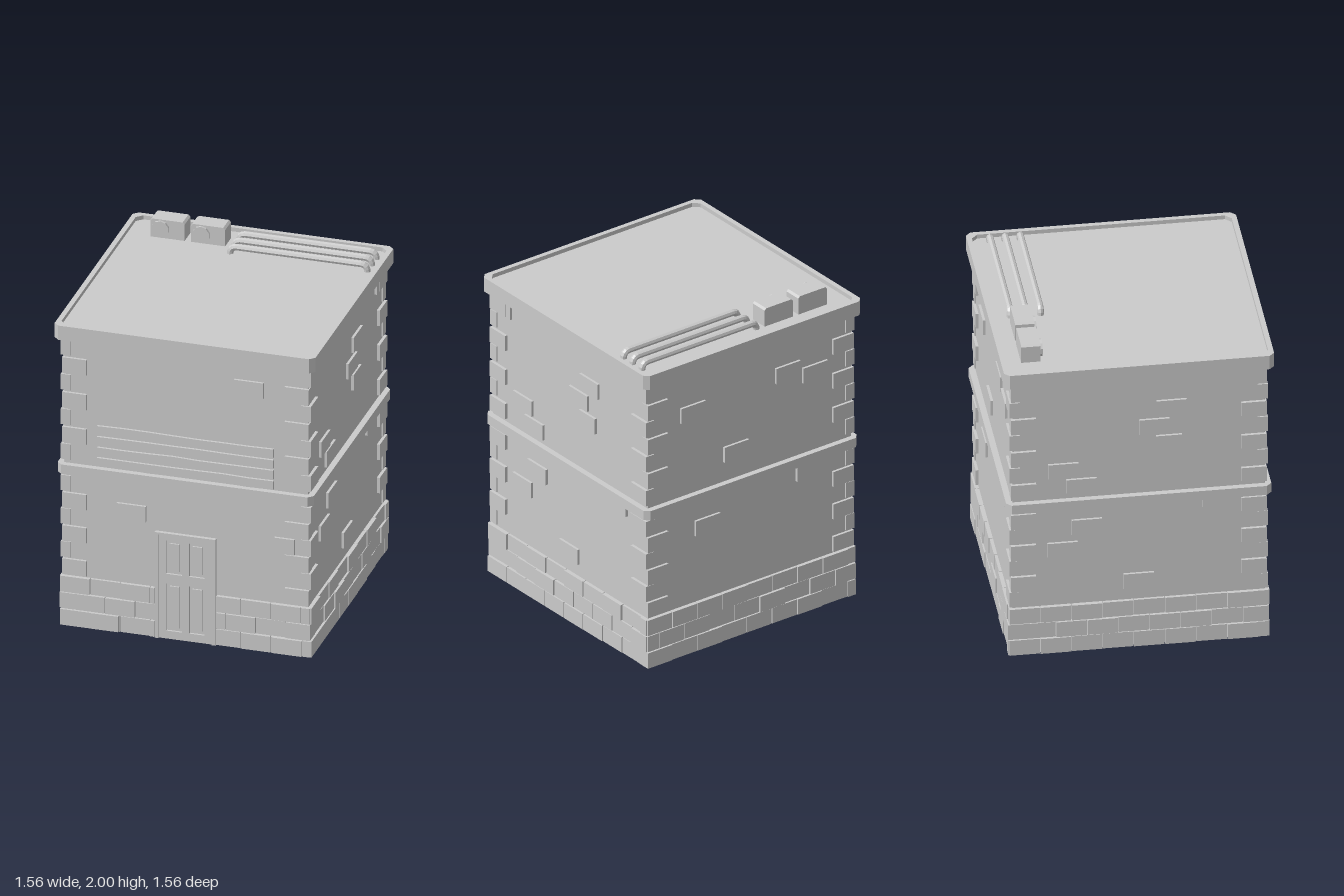
import * as THREE from 'three';

const grey = new THREE.MeshStandardMaterial({ color: 0xcccccc, flatShading: true });
const WALL = 0.73;
const BRICK = { length: 0.175, height: 0.098, depth: 0.1 };

function add(parent, name, geometry, x = 0, y = 0, z = 0) {
  const mesh = new THREE.Mesh(geometry, grey);
  mesh.name = name;
  mesh.position.set(x, y, z);
  parent.add(mesh);
  return mesh;
}

// Box given by its limits on each axis
function block(parent, name, x0, x1, y0, y1, z0, z1) {
  return add(parent, name, new THREE.BoxGeometry(x1 - x0, y1 - y0, z1 - z0),
    (x0 + x1) / 2, (y0 + y1) / 2, (z0 + z1) / 2);
}

// Square outline with cut corners
function outline(h, c) {
  return [[h, c - h], [h, h - c], [h - c, h], [c - h, h], [-h, h - c], [-h, c - h], [c - h, -h], [h - c, -h]]
    .map(([x, y]) => new THREE.Vector2(x, y));
}

// Horizontal slab, or a ring when an inner half-width is given
function slab(parent, name, half, cut, y0, y1, inner = 0, innerCut = cut) {
  const shape = new THREE.Shape(outline(half, cut));
  if (inner) shape.holes.push(new THREE.Path(outline(inner, innerCut)));
  const geometry = new THREE.ExtrudeGeometry(shape, { depth: y1 - y0, bevelEnabled: false });
  geometry.rotateX(-Math.PI / 2);
  return add(parent, name, geometry, 0, y0, 0);
}

function seeded(seed) {
  return () => (seed = (seed * 16807) % 2147483647) / 2147483647;
}

// Three courses of base bricks on one face, leaving an optional gap for the door
function baseCourses(face, rand, gap) {
  for (let row = 0; row < 3; row++) {
    const start = -0.93 + (row % 2) * 0.09;
    for (let k = 0; k < 10; k++) {
      const a = start + k * 0.18;
      const spans = gap
        ? [[Math.max(a, -0.748), Math.min(a + 0.18, -gap)], [Math.max(a, gap), Math.min(a + 0.18, 0.748)]]
        : [[Math.max(a, -0.748), Math.min(a + 0.18, 0.748)]];
      const out = 0.744 + rand() * 0.012;
      for (const [u0, u1] of spans) {
        if (u1 - u0 < 0.02) continue;
        block(face, 'baseBrick', u0 + 0.002, u1 - 0.002, row * 0.105 + 0.004, row * 0.105 + 0.103, out - BRICK.depth, out);
      }
    }
  }
}

// Corner stones alternating their long side between the two faces
function cornerStones(parent) {
  const courses = [];
  for (let i = 0; i < 6; i++) courses.push([0.32 + i * 0.105, i % 2]);
  for (let i = 0; i < 7; i++) courses.push([1.045 + i * 0.11, (i + 1) % 2]);
  for (const sx of [-1, 1]) for (const sz of [-1, 1]) {
    for (const [y, alongZ] of courses) {
      const w = alongZ ? 0.06 : 0.145, d = alongZ ? 0.145 : 0.06;
      const ox = alongZ ? 0.748 : 0.738, oz = alongZ ? 0.738 : 0.746;
      add(parent, 'cornerStone', new THREE.BoxGeometry(w, BRICK.height, d),
        sx * (ox - w / 2), y + 0.052, sz * (oz - d / 2));
    }
  }
}

function door(face) {
  const group = new THREE.Group();
  group.name = 'door';
  face.add(group);
  // Jambs and lintel
  for (const s of [-1, 1]) block(group, 'doorJamb', s * 0.1705 - 0.0115, s * 0.1705 + 0.0115, 0, 0.67, 0.7, 0.753);
  block(group, 'doorLintel', -0.16, 0.16, 0.657, 0.67, 0.7, 0.753);
  // Leaf with four sunken panels
  const leaf = new THREE.Shape([[-0.16, 0], [0.16, 0], [0.16, 0.657], [-0.16, 0.657]].map((p) => new THREE.Vector2(...p)));
  for (const [x0, x1] of [[-0.115, -0.022], [0.022, 0.115]]) {
    for (const [y0, y1] of [[0.05, 0.35], [0.41, 0.62]]) {
      leaf.holes.push(new THREE.Path([[x0, y0], [x0, y1], [x1, y1], [x1, y0]].map((p) => new THREE.Vector2(...p))));
      block(group, 'doorPanel', x0 + 0.018, x1 - 0.018, y0 + 0.018, y1 - 0.018, 0.72, 0.739);
    }
  }
  add(group, 'doorLeaf', new THREE.ExtrudeGeometry(leaf, { depth: 0.024, bevelEnabled: false }), 0, 0, 0.719);
}

// Four rough planks with uneven edges
function planks(face, rand) {
  for (let i = 0; i < 4; i++) {
    const y0 = 1.03 + i * 0.067, n = 7, low = [], high = [];
    for (let k = 0; k <= n; k++) {
      const x = -0.53 + (1.055 * k) / n;
      low.push(new THREE.Vector2(x, y0 + rand() * 0.007));
      high.push(new THREE.Vector2(x, y0 + 0.054 + rand() * 0.007));
    }
    const shape = new THREE.Shape([...low, ...high.reverse()]);
    add(face, 'boardPlank', new THREE.ExtrudeGeometry(shape, { depth: 0.03, bevelEnabled: false }), 0, 0, 0.715);
  }
}

function roofUnit(parent, x0, x1) {
  const group = new THREE.Group();
  group.name = 'airConditioner';
  parent.add(group);
  // Casing with softened top corners
  const c = 0.012, y0 = 1.88, y1 = 2;
  const shape = new THREE.Shape([[x0, y0], [x1, y0], [x1, y1 - c], [x1 - c, y1], [x0 + c, y1], [x0, y1 - c]]
    .map((p) => new THREE.Vector2(...p)));
  add(group, 'unitCasing', new THREE.ExtrudeGeometry(shape, { depth: 0.112, bevelEnabled: false }), 0, 0, -0.66);
  const fan = new THREE.CylinderGeometry(0.052, 0.052, 0.015, 10);
  fan.rotateX(Math.PI / 2);
  add(group, 'unitFan', fan, x0 + 0.062, 1.943, -0.541);
}

function roofPipe(parent, z) {
  const v = (x, y) => new THREE.Vector3(x, y, 0);
  const path = new THREE.CurvePath();
  path.add(new THREE.LineCurve3(v(-0.11, 1.87), v(-0.11, 1.885)));
  path.add(new THREE.QuadraticBezierCurve3(v(-0.11, 1.885), v(-0.11, 1.927), v(-0.068, 1.927)));
  path.add(new THREE.LineCurve3(v(-0.068, 1.927), v(0.668, 1.927)));
  path.add(new THREE.QuadraticBezierCurve3(v(0.668, 1.927), v(0.71, 1.927), v(0.71, 1.885)));
  path.add(new THREE.LineCurve3(v(0.71, 1.885), v(0.71, 1.87)));
  add(parent, 'roofPipe', new THREE.TubeGeometry(path, 60, 0.02, 8, false), 0, 0, z);
}

export function createModel() {
  const model = new THREE.Group();
  model.name = 'brickBuilding';
  const rand = seeded(7);

  // Hollow walls, middle band and roof
  slab(model, 'walls', WALL, 0.002, 0.004, 1.83, 0.715, 0.002);
  slab(model, 'middleBand', 0.766, 0.03, 0.965, 1.025, 0.72, 0.01);
  slab(model, 'roofDeck', 0.76, 0.035, 1.822, 1.885);
  slab(model, 'roofRim', 0.78, 0.03, 1.82, 1.91, 0.75, 0.035);
  cornerStones(model);

  // Loose bricks on each face: [centre across, centre up, length]
  const sideBricks = [[-0.435, 1.215], [-0.33, 1.105], [-0.3, 0.83], [-0.44, 0.685], [0, 0.44], [0.19, 1.59],
    [0.09, 1.47], [0.175, 1.355, 0.15], [0.455, 0.945], [-0.615, 1.755, 0.13], [0.615, 1.755, 0.13], [-0.21, 0.16]];
  const faces = [
    ['front', 0, [[-0.325, 0.768], [0.59, 0.683, 0.12], [0.378, 1.65], [-0.485, 0.055], [0.61, 0.055]]],
    ['left', Math.PI / 2, sideBricks],
    ['back', Math.PI, [[-0.41, 1.55], [0.27, 1.59], [0.466, 1.53], [-0.306, 0.79], [0.42, 0.91], [-0.1, 1.2]]],
    ['right', -Math.PI / 2, sideBricks],
  ];
  for (const [name, angle, bricks] of faces) {
    const face = new THREE.Group();
    face.name = name + 'Face';
    face.rotation.y = angle;
    model.add(face);
    baseCourses(face, rand, name === 'front' ? 0.183 : 0);
    for (const [u, y, length = BRICK.length] of bricks) {
      const out = y < 0.3 ? 0.76 : 0.745;
      add(face, 'wallBrick', new THREE.BoxGeometry(length, BRICK.height, BRICK.depth), u, y, out - BRICK.depth / 2);
    }
    if (name === 'front') {
      door(face);
      planks(face, rand);
    }
  }

  // Roof equipment
  roofUnit(model, -0.61, -0.405);
  roofUnit(model, -0.367, -0.163);
  for (const z of [-0.65, -0.562, -0.475]) roofPipe(model, z);
  return model;
}
